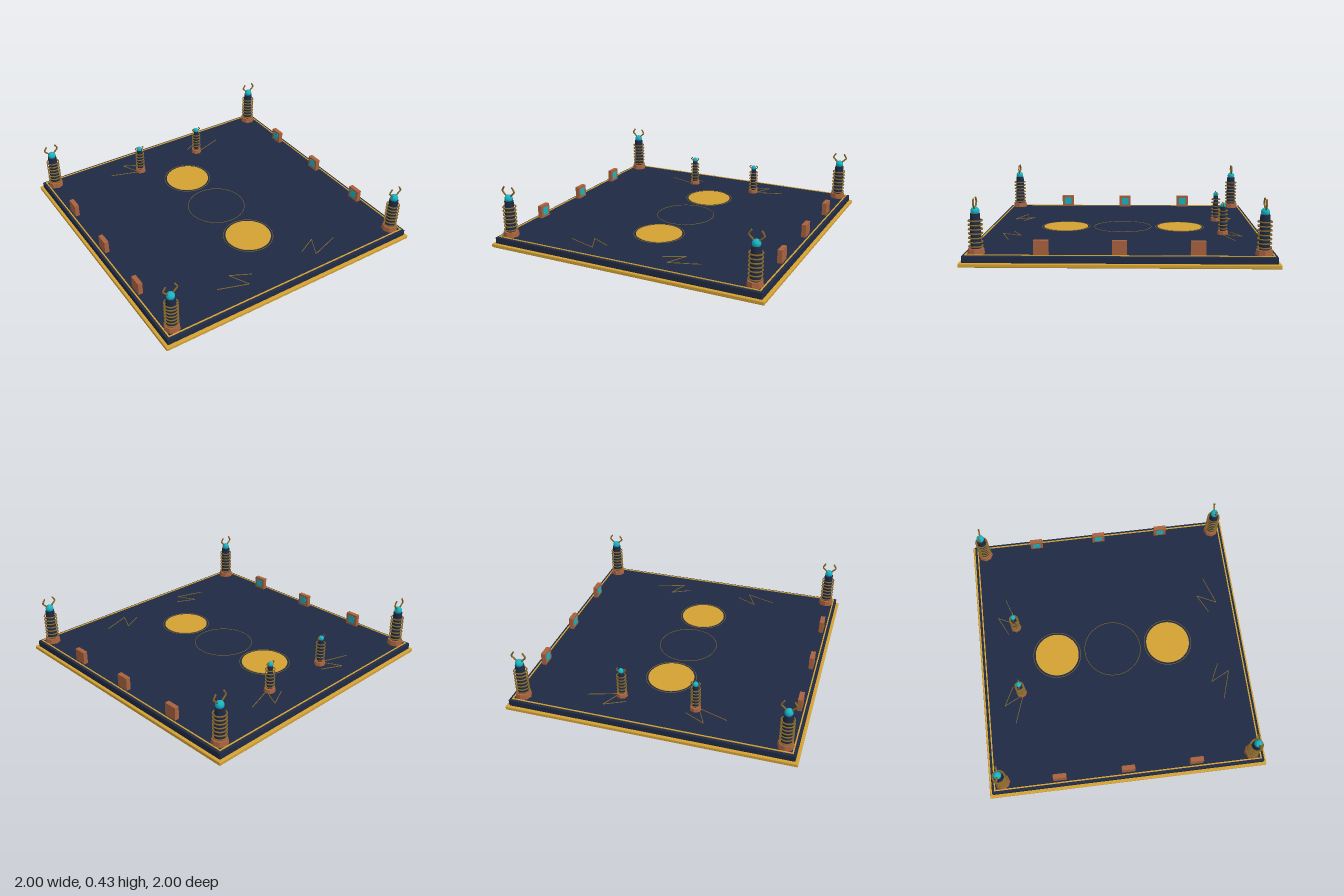
import * as THREE from 'three';
import { RoundedBoxGeometry } from 'three/addons/geometries/RoundedBoxGeometry.js';

const mat = (color, flatShading = false) => {
  const m = new THREE.MeshStandardMaterial({ flatShading });
  m.color.set(color);
  return m;
};
const NAVY = mat(0x1f2a44), GOLD = mat(0xd4a233), BRONZE = mat(0x86682c);
const COPPER = mat(0xa8623e, true), TEAL = mat(0x16b4c4);
const TOP = 0.07; // floor level

function add(parent, name, geometry, material, x = 0, y = 0, z = 0) {
  const mesh = new THREE.Mesh(geometry, material);
  mesh.name = name;
  mesh.position.set(x, y, z);
  parent.add(mesh);
  return mesh;
}

// Thin ring lying flat
function flatRing(parent, name, radius, tube, y, z = 0, segments = 32) {
  const ring = add(parent, name, new THREE.TorusGeometry(radius, tube, 6, segments), BRONZE, 0, y, z);
  ring.rotation.x = Math.PI / 2;
  return ring;
}

// Coil tower: footing, column, stacked rings, glowing ball and two prongs
function coilTower({ name, foot, footH, column, columnTop, rings, ringR, tube, ringY, step, ballR, ballY, prong, prongR }) {
  const g = new THREE.Group();
  g.name = name;
  add(g, 'footing', new THREE.CylinderGeometry(foot * 0.92, foot, footH, 8), COPPER, 0, TOP + footH / 2);
  const h = columnTop - TOP;
  add(g, 'column', new THREE.CylinderGeometry(column * 0.9, column, h, 16), NAVY, 0, TOP + h / 2);
  for (let i = 0; i < rings; i++) flatRing(g, 'coilRing', ringR, tube, ringY + i * step, 0, 24);
  add(g, 'energyBall', new THREE.SphereGeometry(ballR, 20, 14), TEAL, 0, ballY);
  for (const side of [-1, 1]) {
    const path = new THREE.CurvePath();
    const pts = prong.map(([x, y]) => new THREE.Vector3(side * x, y, 0));
    for (let i = 1; i < pts.length; i++) path.add(new THREE.LineCurve3(pts[i - 1], pts[i]));
    add(g, 'prong', new THREE.TubeGeometry(path, 18, prongR, 6), BRONZE);
    add(g, 'prongTip', new THREE.SphereGeometry(prongR, 8, 6), BRONZE, pts.at(-1).x, pts.at(-1).y);
  }
  return g;
}

const LARGE = {
  name: 'cornerCoil', foot: 0.056, footH: 0.035, column: 0.035, columnTop: 0.325,
  rings: 7, ringR: 0.043, tube: 0.005, ringY: 0.118, step: 0.0272, ballR: 0.028, ballY: 0.34,
  prong: [[0.012, 0.35], [0.026, 0.366], [0.05, 0.388], [0.048, 0.398], [0.034, 0.42]], prongR: 0.006,
};
const SMALL = {
  name: 'smallCoil', foot: 0.04, footH: 0.025, column: 0.02, columnTop: 0.265,
  rings: 6, ringR: 0.031, tube: 0.004, ringY: 0.11, step: 0.0255, ballR: 0.019, ballY: 0.275,
  prong: [[0.012, 0.268], [0.024, 0.272], [0.033, 0.281], [0.031, 0.287], [0.024, 0.293]], prongR: 0.004,
};

// Thin zigzag inlay made of straight bars
function zigzag(parent, side, z) {
  const g = new THREE.Group();
  g.name = 'boltInlay';
  const pts = [[0.49, 0], [0.28, 0.07], [0.35, -0.07], [0.21, 0]];
  for (let i = 1; i < pts.length; i++) {
    const [ax, az] = pts[i - 1], [bx, bz] = pts[i];
    const dx = side * (bx - ax), dz = bz - az;
    const bar = add(g, 'boltSegment', new THREE.BoxGeometry(Math.hypot(dx, dz), 0.004, 0.004), BRONZE,
      side * (ax + bx) / 2, TOP + 0.002, z + (az + bz) / 2);
    bar.rotation.y = -Math.atan2(dz, dx);
  }
  parent.add(g);
}

export function createModel() {
  const model = new THREE.Group();
  model.name = 'coilArena';

  // Stacked floor slabs
  add(model, 'goldPlinth', new RoundedBoxGeometry(2, 0.026, 2, 2, 0.006), GOLD, 0, 0.013);
  add(model, 'floorSlab', new RoundedBoxGeometry(1.96, 0.046, 1.96, 2, 0.005), NAVY, 0, TOP - 0.023);

  // Gold border line
  for (const s of [-1, 1]) {
    add(model, 'borderStrip', new THREE.BoxGeometry(1.926, 0.005, 0.009), GOLD, 0, TOP + 0.002, s * 0.958);
    add(model, 'borderStrip', new THREE.BoxGeometry(0.009, 0.005, 1.926), GOLD, s * 0.958, TOP + 0.002, 0);
  }

  // Floor markings
  flatRing(model, 'centreRing', 0.21, 0.002, TOP + 0.001, 0, 64);
  for (const s of [-1, 1]) {
    add(model, 'goldDisc', new THREE.CylinderGeometry(0.162, 0.162, 0.005, 48), GOLD, 0, TOP + 0.0015, s * 0.42);
    flatRing(model, 'discRing', 0.177, 0.002, TOP + 0.001, s * 0.42, 64);
    for (const z of [-0.77, 0.77]) zigzag(model, s, z);
  }

  // Coil towers
  for (const s of [-1, 1]) {
    for (const z of [-0.9, 0.9]) {
      const tower = coilTower(LARGE);
      tower.position.set(s * 0.903, 0, z);
      model.add(tower);
    }
    const small = coilTower(SMALL);
    small.position.set(s * 0.26, 0, -0.71);
    model.add(small);
  }

  // Side panels with a teal screen on the inner face
  for (const s of [-1, 1]) {
    for (const z of [-0.49, 0, 0.49]) {
      add(model, 'sidePanel', new THREE.BoxGeometry(0.032, 0.092, 0.094), COPPER, s * 0.926, TOP + 0.045, z);
      add(model, 'panelScreen', new THREE.BoxGeometry(0.003, 0.056, 0.056), TEAL, s * 0.91, TOP + 0.046, z);
    }
  }
  return model;
}
